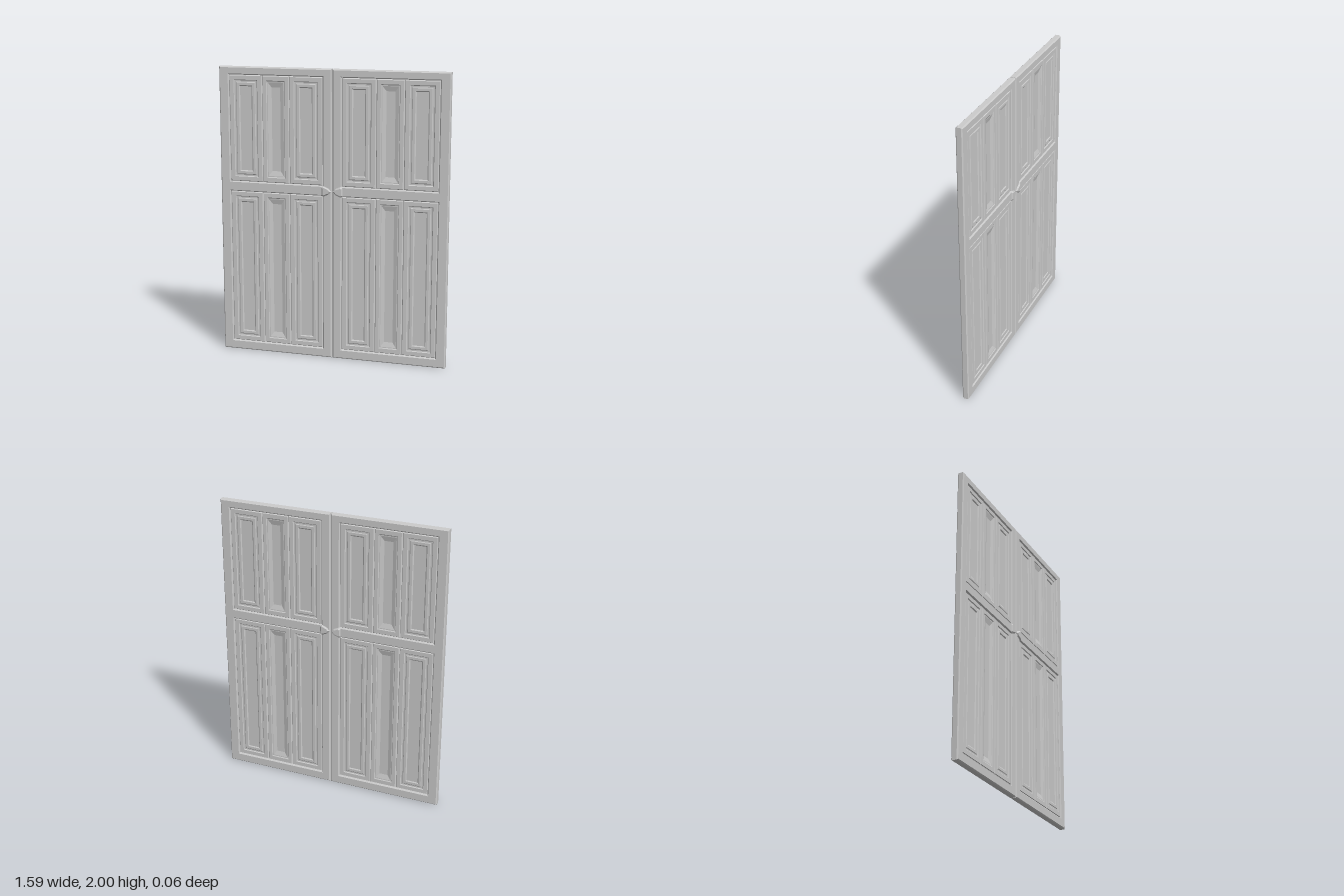
import * as THREE from 'three';

const mat = new THREE.MeshStandardMaterial({ color: 0xcccccc, flatShading: true });
const HALF = 0.023;               // half thickness of a leaf
const X0 = 0.003, X1 = 0.795;     // inner and outer edge of a leaf
const HOLES = [[0.065, 1.145], [1.215, 1.945]];   // bottom and top of each opening
const SPLITS = [0.066, 0.301, 0.491, 0.726];      // borders of the three planks

// profiles: [inset x, inset y, z], stepping inwards
const SIDE = [[0, 0, 0.009], [0.006, 0.006, 0.018], [0.033, 0.033, 0.018], [0.038, 0.038, 0.013],
  [0.048, 0.048, 0.013], [0.053, 0.053, 0.016], [0.07, 0.07, 0.016], [0.077, 0.077, 0.011]];
const MIDDLE = [[0, 0, 0.009], [0.006, 0.006, 0.018], [0.03, 0.034, 0.018], [0.034, 0.04, 0.014],
  [0.04, 0.046, 0.014], [0.065, 0.08, 0.005]];

// stepped rectangular panel: mitred rings plus a centre field
function panelGeometry(w, h, profile) {
  const pos = [], idx = [];
  profile.forEach(([ix, iy, z], r) => {
    const a = w / 2 - ix, b = h / 2 - iy;
    pos.push(-a, -b, z, a, -b, z, a, b, z, -a, b, z);
    if (r === 0) return;
    const o = (r - 1) * 4, n = r * 4;
    for (let i = 0; i < 4; i++) {
      const j = (i + 1) % 4;
      idx.push(o + i, o + j, n + j, o + i, n + j, n + i);
    }
  });
  const c = (profile.length - 1) * 4;
  idx.push(c, c + 1, c + 2, c, c + 2, c + 3);
  const g = new THREE.BufferGeometry();
  g.setAttribute('position', new THREE.Float32BufferAttribute(pos, 3));
  g.setIndex(idx);
  const flat = g.toNonIndexed();
  flat.computeVertexNormals();
  return flat;
}

// bevelled slab centred on z = 0
function slab(shape, half, bevel) {
  const g = new THREE.ExtrudeGeometry(shape, {
    depth: 2 * (half - bevel), bevelThickness: bevel, bevelSize: bevel,
    bevelOffset: -bevel, bevelSegments: 1
  });
  return g.translate(0, 0, bevel - half);
}

const rect = (x0, y0, x1, y1) => [[x0, y0], [x1, y0], [x1, y1], [x0, y1]]
  .map(([x, y]) => new THREE.Vector2(x, y));

function add(parent, name, geometry) {
  const m = new THREE.Mesh(geometry, mat);
  m.name = name;
  parent.add(m);
  return m;
}

function createLeaf(name) {
  const leaf = new THREE.Group();
  leaf.name = name;

  // stiles and rails with two openings
  const frame = new THREE.Shape(rect(X0, 0, X1, 2));
  for (const [y0, y1] of HOLES) {
    frame.holes.push(new THREE.Path(rect(SPLITS[0], y0, SPLITS[3], y1).reverse()));
  }
  add(leaf, 'frame', slab(frame, HALF, 0.007));

  // three panels per opening, the same on both faces
  for (const [y0, y1] of HOLES) {
    for (let i = 0; i < 3; i++) {
      const xa = SPLITS[i], xb = SPLITS[i + 1];
      const g = panelGeometry(xb - xa, y1 - y0, i === 1 ? MIDDLE : SIDE);
      for (const side of ['front', 'back']) {
        const p = add(leaf, side + (i === 1 ? 'MiddlePanel' : 'SidePanel'), g);
        p.position.set((xa + xb) / 2, (y0 + y1) / 2, 0);
        if (side === 'back') p.rotation.y = Math.PI;
      }
    }
  }

  // faceted lock plate tapering towards the meeting edge
  const plate = [[0.005, 1.178], [0.022, 1.157], [0.06, 1.14], [0.075, 1.15],
    [0.075, 1.205], [0.06, 1.215], [0.022, 1.199]].map(([x, y]) => new THREE.Vector2(x, y));
  add(leaf, 'lockPlate', slab(new THREE.Shape(plate), 0.032, 0.01));
  return leaf;
}

export function createModel() {
  const model = new THREE.Group();
  model.name = 'doubleDoor';
  const right = createLeaf('rightLeaf');
  right.rotation.y = Math.PI;     // both faces match, so a half turn mirrors the leaf
  model.add(createLeaf('leftLeaf'), right);
  return model;
}
